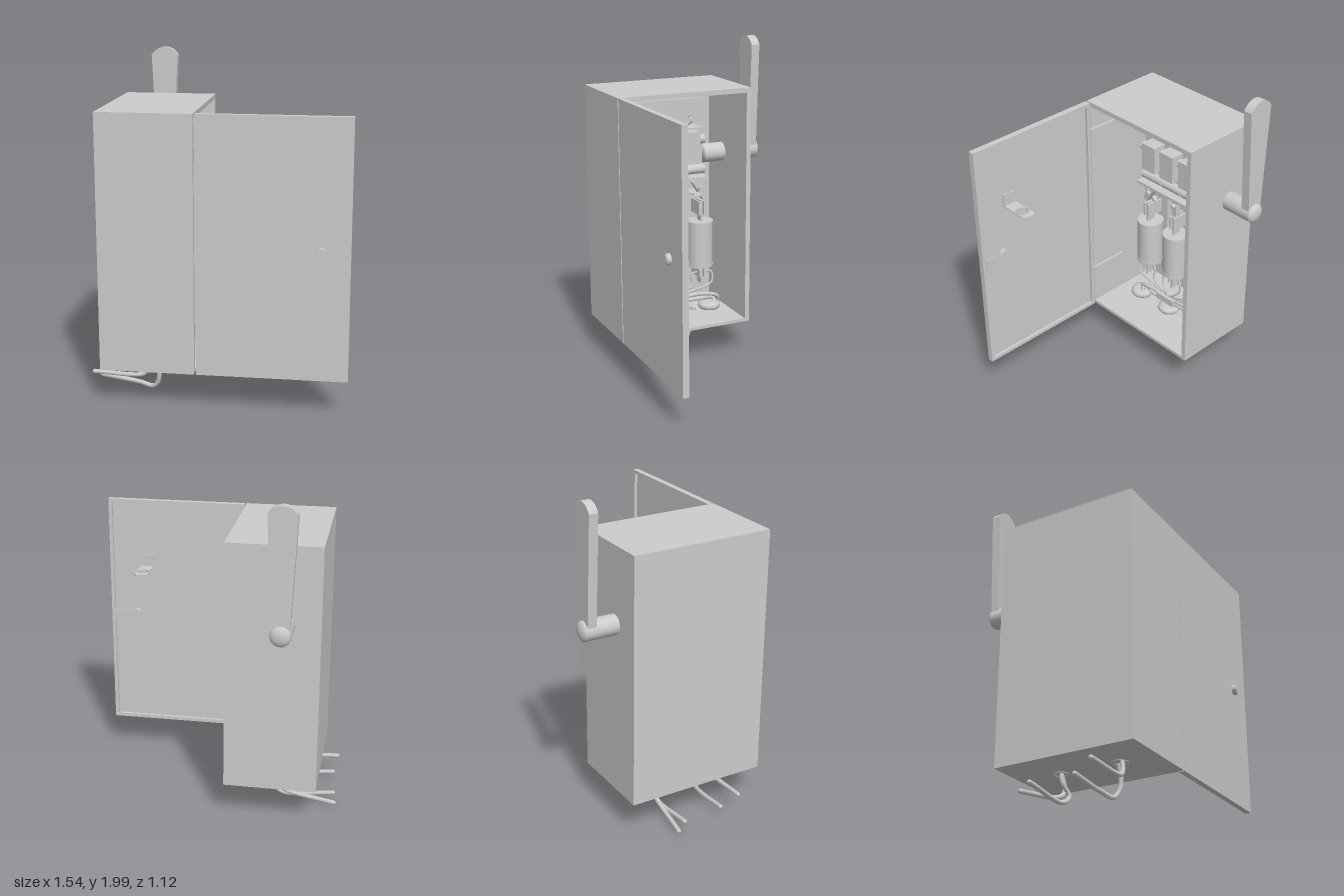
import * as THREE from 'three';

const grey = new THREE.MeshStandardMaterial({ color: 0xcccccc, side: THREE.DoubleSide });

export function createModel() {
  const model = new THREE.Group();

  const add = (name, geometry, parent = model) => {
    const mesh = new THREE.Mesh(geometry, grey);
    mesh.name = name;
    parent.add(mesh);
    return mesh;
  };
  const group = (name) => {
    const g = new THREE.Group();
    g.name = name;
    model.add(g);
    return g;
  };
  // Box given by its minimum and maximum on each axis
  const box = (name, x0, x1, y0, y1, z0, z1, parent) => {
    const g = new THREE.BoxGeometry(x1 - x0, y1 - y0, z1 - z0);
    g.translate((x0 + x1) / 2, (y0 + y1) / 2, (z0 + z1) / 2);
    return add(name, g, parent);
  };
  // Cylinder along an axis
  const rod = (name, axis, r, length, x, y, z, parent, sides = 24) => {
    const g = new THREE.CylinderGeometry(r, r, length, sides);
    if (axis === 'x') g.rotateZ(Math.PI / 2);
    if (axis === 'z') g.rotateX(Math.PI / 2);
    g.translate(x, y, z);
    return add(name, g, parent);
  };
  const wire = (name, r, points, parent) => {
    const curve = new THREE.CatmullRomCurve3(points.map((p) => new THREE.Vector3(...p)), false, 'centripetal');
    return add(name, new THREE.TubeGeometry(curve, 32, r, 8), parent);
  };

  // Cabinet, open towards +x
  const cabinet = group('cabinet');
  const [x0, x1, y0, y1, z0, z1] = [-0.665, -0.11, 0.22, 1.73, -0.335, 0.535];
  const t = 0.03;
  box('backWall', x0, x0 + t, y0, y1, z0, z1, cabinet);
  box('frontWall', x0 + t, x1, y0, y1, z1 - t, z1, cabinet);
  box('rearWall', x0 + t, x1, y0, y1, z0, z0 + t, cabinet);
  box('roof', x0 + t, x1, y1 - t, y1, z0 + t, z1 - t, cabinet);
  box('floor', x0 + t, x1, y0, y0 + 0.02, z0 + t, z1 - t, cabinet);
  box('mountingPlate', x0 + t, -0.61, 0.35, 1.6, -0.24, 0.44, cabinet);

  // Door swung fully open, with a folded rim on its inner face
  const door = group('door');
  const [d0, d1, rim] = [-0.1, 0.77, 0.022];
  box('doorPanel', d0, d1, y0, y1, 0.517, z1, door);
  box('doorRimTop', d0, d1, y1 - rim, y1, 0.498, 0.517, door);
  box('doorRimBottom', d0, d1, y0, y0 + rim, 0.498, 0.517, door);
  box('doorRimHinge', d0, d0 + rim, y0 + rim, y1 - rim, 0.498, 0.517, door);
  box('doorRimLatch', d1 - rim, d1, y0 + rim, y1 - rim, 0.498, 0.517, door);

  // Hinges
  for (const y of [0.475, 1.505]) {
    box('hingeStrap', -0.36, -0.1, y - 0.045, y + 0.045, 0.49, 0.505, door);
    rod('hingePin', 'y', 0.008, 0.09, -0.103, y, 0.502, door, 12);
  }

  // Lock: outer barrel, inner barrel and latch bar
  const lock = group('lock');
  rod('lockBarrel', 'z', 0.032, 0.07, 0.605, 0.97, 0.525, lock);
  rod('lockFace', 'z', 0.025, 0.006, 0.605, 0.97, 0.561, lock);
  box('latchBar', 0.575, 0.75, 0.945, 0.995, 0.487, 0.493, lock);

  // Padlock bracket with a round hole in its tab
  const bracket = group('padlockBracket');
  const tab = new THREE.Shape([[0.49, 0.517], [0.575, 0.517], [0.575, 0.34], [0.56, 0.32], [0.505, 0.32], [0.49, 0.34]]
    .map((p) => new THREE.Vector2(...p)));
  tab.holes.push(new THREE.Path().absarc(0.5325, 0.395, 0.04, 0, Math.PI * 2, true));
  const tabGeometry = new THREE.ExtrudeGeometry(tab, { depth: 0.008, bevelEnabled: false, curveSegments: 6 });
  tabGeometry.rotateX(Math.PI / 2).translate(0, 1.294, 0);
  add('bracketTab', tabGeometry, bracket);
  box('bracketPlate', 0.49, 0.575, 1.286, 1.37, 0.508, 0.517, bracket);

  // Operating lever behind the cabinet
  const lever = group('lever');
  const cx = -0.455;
  const shaftProfile = [[0, -0.34], [0.06, -0.34], [0.06, 0.02]];
  for (let i = 1; i <= 6; i++) {
    const a = (i / 6) * Math.PI / 2;
    shaftProfile.push([0.06 * Math.cos(a), 0.02 + 0.03 * Math.sin(a)]);
  }
  const shaft = new THREE.LatheGeometry(shaftProfile.map((p) => new THREE.Vector2(...p)), 28);
  shaft.rotateX(-Math.PI / 2).translate(cx, 1.27, -0.51);
  add('leverShaft', shaft, lever);
  const blade = new THREE.Shape();
  blade.moveTo(cx - 0.05, 1.27);
  blade.absarc(cx, 1.27, 0.05, Math.PI, Math.PI * 2, false);
  blade.lineTo(cx + 0.083, 1.95);
  blade.quadraticCurveTo(cx + 0.05, 2, cx, 2);
  blade.quadraticCurveTo(cx - 0.05, 2, cx - 0.083, 1.95);
  const bladeGeometry = new THREE.ExtrudeGeometry(blade, { depth: 0.055, bevelEnabled: false });
  add('leverBlade', bladeGeometry.translate(0, 0, -0.53), lever);

  // Switch unit: base, three contact blocks and clamp rollers
  const unit = group('switchUnit');
  box('switchBase', -0.61, -0.45, 1.12, 1.44, -0.165, 0.37, unit);
  box('switchShelf', -0.45, -0.37, 1.12, 1.135, -0.165, 0.37, unit);
  rod('upperRoller', 'z', 0.03, 0.535, -0.43, 1.37, 0.1025, unit);
  [0.26, 0.105, -0.055].forEach((z, i) => {
    box('contactBlock', -0.45, -0.36, 1.25, 1.43, z - 0.055, z + 0.055, unit);
    rod('lowerRoller', 'z', 0.03, 0.165, -0.42, 1.18, 0.268 - i * 0.173, unit);
    const s = 1 - i;
    wire('switchWire', 0.006, [[-0.45, 1.42, z + 0.02], [-0.46, 1.46, z + 0.012 - 0.015 * i],
      [-0.43, 1.49, z + 0.03 * s], [-0.46, 1.52, z + 0.02 * s], [-0.43, 1.52, z - 0.015]], unit);
  });

  // Three fuses in their holders, with contact clips and leads
  const fuses = group('fuses');
  [0.315, 0.085, -0.143].forEach((z, i) => {
    const s = 1 - i;
    box('fuseHolder', -0.61, -0.52, 0.44, 1, z - 0.075, z + 0.075, fuses);
    rod('fuseBody', 'y', 0.083, 0.28, -0.44, 0.68, z, fuses);
    for (const y of [0.535, 0.825]) rod('fuseCap', 'y', 0.086, 0.015, -0.44, y, z, fuses);
    box('fuseBlade', -0.47, -0.41, 0.41, 0.97, z - 0.005, z + 0.005, fuses);
    for (const side of [-1, 1]) {
      const zc = z + side * 0.017;
      box('upperClip', -0.52, -0.4, 0.875, 0.965, zc - 0.006, zc + 0.006, fuses);
      box('lowerClip', -0.52, -0.4, 0.455, 0.51, zc - 0.006, zc + 0.006, fuses);
    }
    // Angled link up to the switch
    const link = box('contactLink', -0.46, -0.42, -0.07, 0.07, -0.018, 0.018, fuses);
    link.position.set(0, 1.04, z - s * 0.005);
    link.rotation.x = -s * 0.55;
    rod('linkBolt', 'x', 0.016, 0.03, -0.41, 1.05, z - s * 0.008, fuses, 12);
    if (s) {
      const stay = box('contactStay', -0.47, -0.45, -0.055, 0.055, -0.012, 0.012, fuses);
      stay.position.set(0, 1.01, z + s * 0.02);
      stay.rotation.x = s * 0.85;
    }
    // Leads looping to the cable entries
    for (const side of [-1, 1]) {
      const out = z + side * 0.07;
      wire('fuseLead', 0.007, [[-0.44, 0.48, z + side * 0.02], [-0.42, 0.48, out], [-0.41, 0.41, out],
        [-0.4, 0.37, (out + 0.09) / 2], [-0.4, 0.34, 0.1 + 0.02 * side]], fuses);
    }
  });

  // Cable glands on the floor and thick cables joining them
  const cables = group('cables');
  [0.345, 0.09, -0.19].forEach((z) => {
    const gland = new THREE.LatheGeometry([[0, 0], [0.065, 0], [0.075, 0.015], [0.07, 0.035], [0.045, 0.045], [0, 0.045]]
      .map((p) => new THREE.Vector2(...p)), 20);
    add('cableGland', gland.translate(-0.4, 0.24, z), cables);
  });
  box('cableClamp', -0.43, -0.37, 0.3, 0.345, 0.03, 0.18, cables);
  for (const k of [0, 1]) {
    wire('innerCable', 0.013, [[-0.42 + k * 0.05, 0.26, 0.35 - k * 0.03], [-0.4, 0.31 + k * 0.02, 0.34 - k * 0.02],
      [-0.39, 0.335 - k * 0.03, 0.24], [-0.4, 0.33 - k * 0.02, 0.1]], cables);
    wire('innerCable', 0.013, [[-0.42 + k * 0.05, 0.26, -0.26 + k * 0.05], [-0.4, 0.31 - k * 0.01, -0.25 + k * 0.03],
      [-0.39, 0.345 - k * 0.03, -0.12], [-0.4, 0.33 - k * 0.02, 0.08]], cables);
  }

  // Loose cable tails under the cabinet, running towards the back wall
  for (const z of [0.3, -0.075]) {
    const collar = new THREE.TorusGeometry(0.04, 0.008, 8, 20);
    add('cableCollar', collar.rotateX(Math.PI / 2).translate(-0.4, 0.22, z), cables);
  }
  [
    [[-0.42, 0.25, 0.32], [-0.43, 0.16, 0.335], [-0.45, 0.13, 0.335], [-0.75, 0.13, 0.335]],
    [[-0.39, 0.25, 0.28], [-0.365, 0.1, 0.285], [-0.4, 0.03, 0.265], [-0.5, 0.04, 0.24], [-0.73, 0.07, 0.225]],
    [[-0.4, 0.25, -0.08], [-0.39, 0.12, -0.055], [-0.45, 0.07, -0.055], [-0.76, 0.02, -0.085]],
    [[-0.42, 0.25, -0.06], [-0.42, 0.16, -0.05], [-0.38, 0.09, -0.03], [-0.44, 0.04, -0.035], [-0.75, 0.065, -0.04]],
  ].forEach((path) => {
    wire('cableTail', 0.014, path, cables);
    const end = add('cableEnd', new THREE.SphereGeometry(0.014, 10, 6), cables);
    end.position.set(...path[path.length - 1]);
  });

  return model;
}
